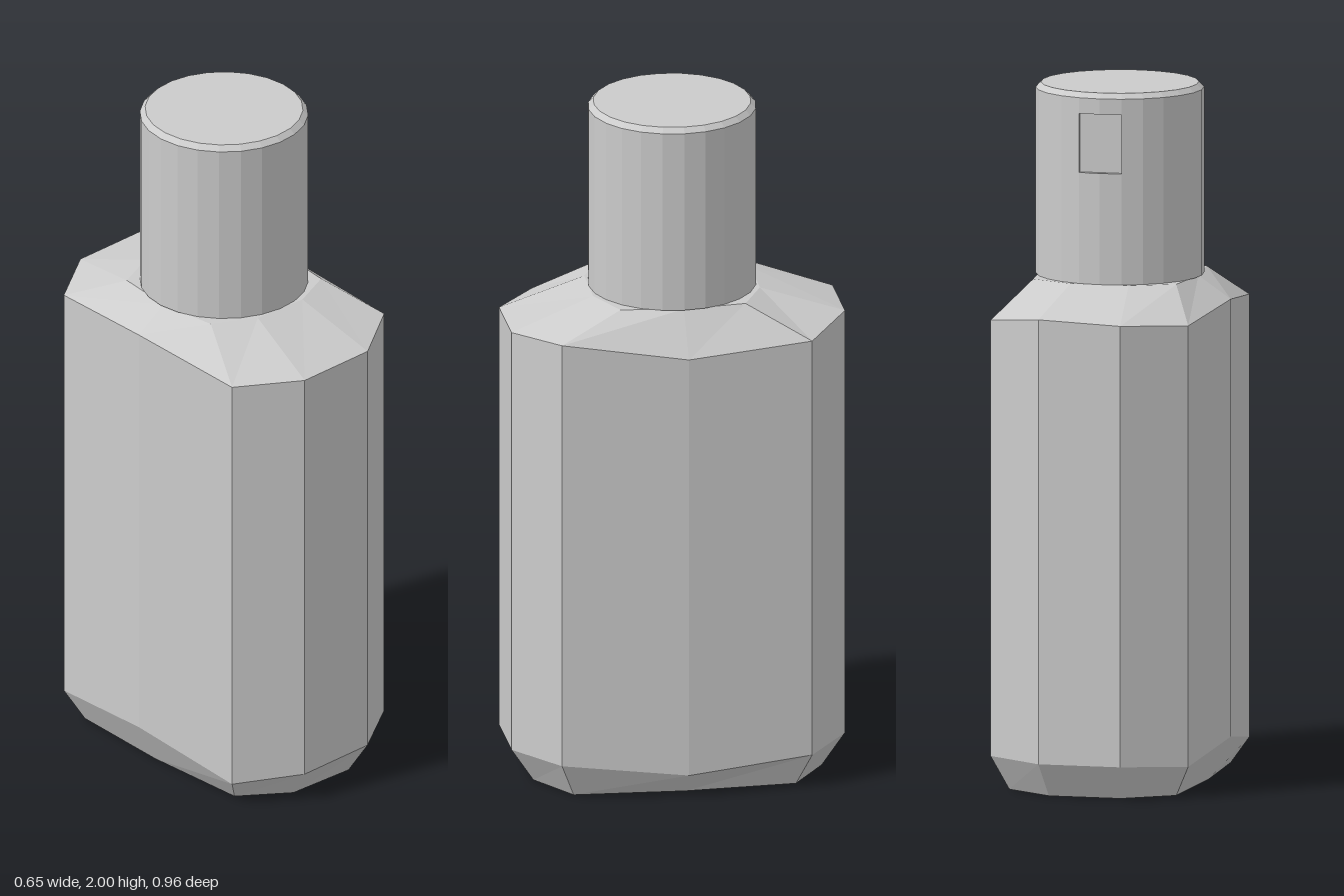
import * as THREE from 'three';

const material = new THREE.MeshStandardMaterial({ color: 0xcccccc, flatShading: true });

// Ten-sided ring, counter-clockwise from +x toward -z; y is one height or a list of ten
function ring([side, cornerX, cornerZ, endX, endZ], y) {
  const outline = [
    [side, 0], [cornerX, -cornerZ], [endX, -endZ], [-endX, -endZ], [-cornerX, -cornerZ],
    [-side, 0], [-cornerX, cornerZ], [-endX, endZ], [endX, endZ], [cornerX, cornerZ],
  ];
  return outline.map(([x, z], i) => new THREE.Vector3(x, Array.isArray(y) ? y[i] : y, z));
}

// Skin stacked rings from bottom to top and close both ends
function loft(rings) {
  const positions = [];
  const tri = (...points) => points.forEach((p) => positions.push(p.x, p.y, p.z));
  const n = rings[0].length;
  for (let r = 0; r < rings.length - 1; r++) {
    for (let i = 0; i < n; i++) {
      const j = (i + 1) % n;
      const [a, b, c, d] = [rings[r][i], rings[r][j], rings[r + 1][j], rings[r + 1][i]];
      tri(a, b, c);
      tri(a, c, d);
    }
  }
  const bottom = rings[0];
  const top = rings[rings.length - 1];
  for (let i = 1; i < n - 1; i++) {
    tri(bottom[0], bottom[i + 1], bottom[i]);
    tri(top[0], top[i], top[i + 1]);
  }
  const geometry = new THREE.BufferGeometry();
  geometry.setAttribute('position', new THREE.Float32BufferAttribute(positions, 3));
  geometry.computeVertexNormals();
  return geometry;
}

export function createModel() {
  const model = new THREE.Group();
  const add = (name, geometry, parent = model) => {
    const mesh = new THREE.Mesh(geometry, material);
    mesh.name = name;
    parent.add(mesh);
    return mesh;
  };

  // Faceted body with slightly uneven bevels at base and shoulder
  const wide = [0.325, 0.29, 0.36, 0.12, 0.48];
  add('body', loft([
    ring([0.26, 0.245, 0.32, 0.105, 0.415], 0),
    ring(wide, [0.07, 0.1, 0.1, 0.1, 0.09, 0.125, 0.07, 0.09, 0.1, 0.105]),
    ring(wide, [1.33, 1.355, 1.38, 1.37, 1.36, 1.385, 1.345, 1.355, 1.365, 1.38]),
    ring([0.23, 0.21, 0.18, 0.085, 0.24], 1.45),
  ]));

  // Cap: lower and upper cylinders with a notched band between them
  const cap = new THREE.Group();
  cap.name = 'cap';
  model.add(cap);
  const radius = 0.24;
  const sides = 24;
  const slotBottom = 1.77;
  const slotTop = 1.94;
  const section = (name, r0, r1, y0, y1) => {
    add(name, new THREE.CylinderGeometry(r1, r0, y1 - y0, sides), cap).position.y = (y0 + y1) / 2;
  };
  section('capLower', radius, radius, 1.45, slotBottom);
  section('capUpper', radius, radius, slotTop, 1.985);
  section('capBevel', radius, 0.225, 1.985, 2);

  // Band outline leaves a shallow flat pocket at the back (shape +y becomes -z)
  const outline = [];
  for (let i = 1; i < sides; i++) {
    const a = Math.PI / 2 + (i / sides) * Math.PI * 2;
    outline.push(new THREE.Vector2(radius * Math.cos(a), radius * Math.sin(a)));
  }
  const edge = outline[outline.length - 1].x;
  outline.push(new THREE.Vector2(edge, 0.22), new THREE.Vector2(-edge, 0.22));
  const band = new THREE.ExtrudeGeometry(new THREE.Shape(outline), {
    depth: slotTop - slotBottom, bevelEnabled: false,
  });
  band.rotateX(-Math.PI / 2);
  add('capSlotBand', band, cap).position.y = slotBottom;

  return model;
}
